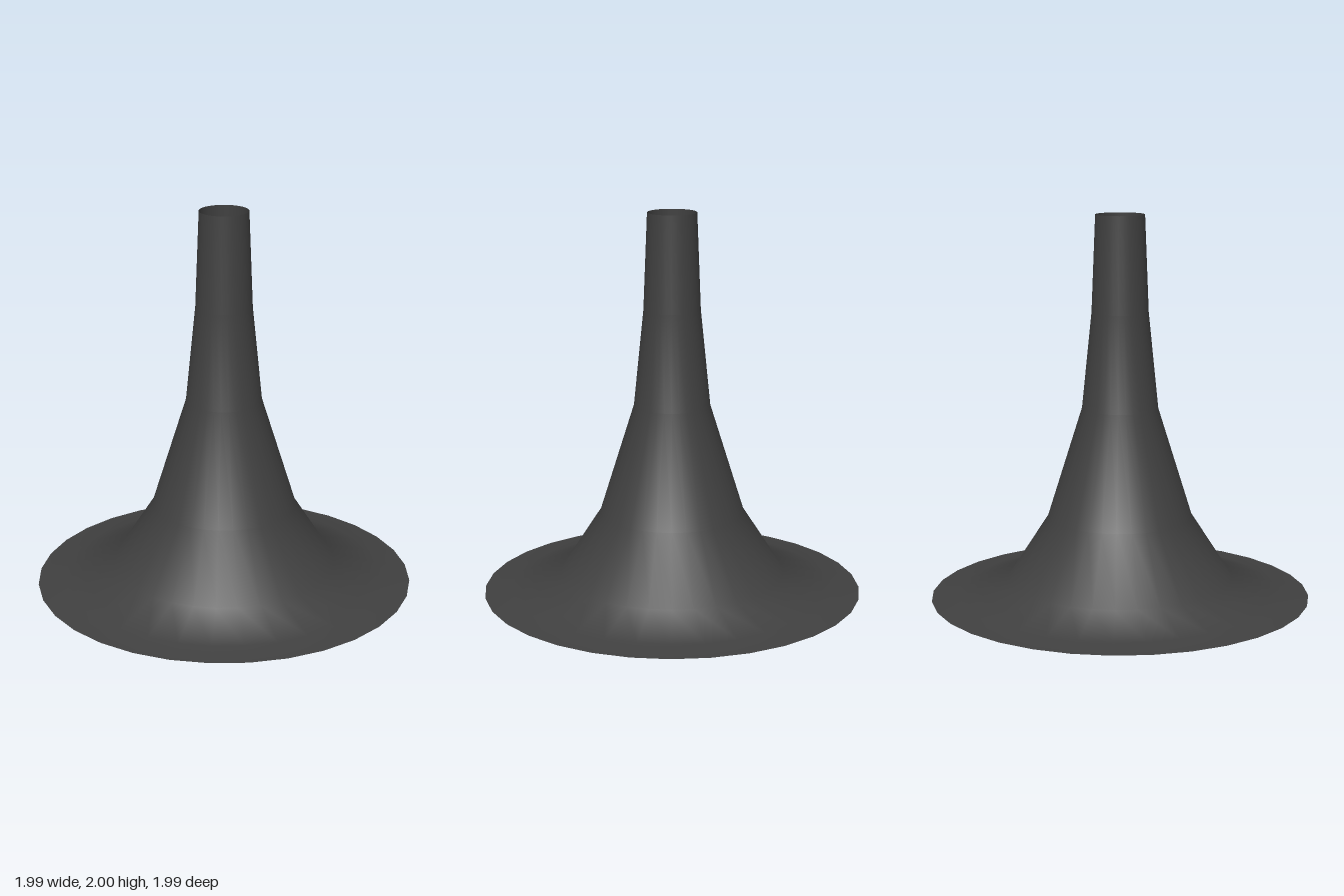
import * as THREE from 'three';

export function createModel() {
  const group = new THREE.Group();
  group.name = 'flaredHorn';

  // Open flared tube: wide thin rim at the floor, narrowing to the neck
  const profile = [
    [0.993, 0], [0.85, 0.016], [0.59, 0.095], [0.378, 0.425],
    [0.198, 1.0], [0.147, 1.5], [0.127, 2],
  ].map(([r, y]) => new THREE.Vector2(r, y));

  const horn = new THREE.Mesh(
    new THREE.LatheGeometry(profile, 32),
    new THREE.MeshStandardMaterial({ color: 0x404040, side: THREE.DoubleSide })
  );
  horn.name = 'hornShell';
  group.add(horn);
  return group;
}
